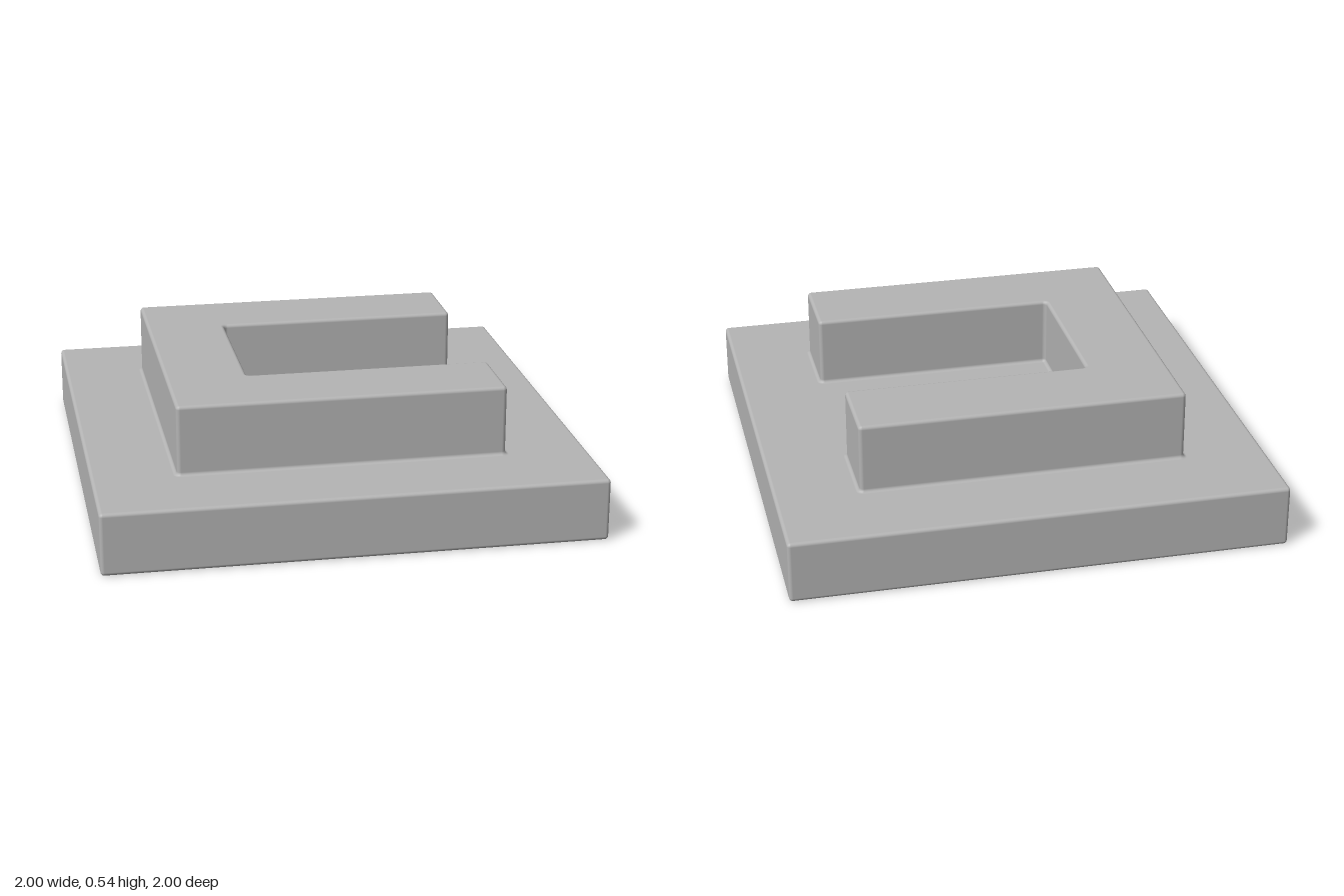
import * as THREE from 'three';
import { RoundedBoxGeometry } from 'three/addons/geometries/RoundedBoxGeometry.js';

const BASE_TOP = 0.255, WALL_TOP = 0.543, OUTER = 0.663, INNER = 0.335;
const ROUND = 0.015, STEPS = 4;

// Rounds every corner of an outline in (x, z); returns points with outward normals.
function roundOutline(corners, r) {
  const dir = (a, b) => b.clone().sub(a).normalize();
  const out = [];
  corners.forEach((p, i) => {
    const count = corners.length;
    const d0 = dir(corners[(i + count - 1) % count], p);
    const d1 = dir(p, corners[(i + 1) % count]);
    const n0 = new THREE.Vector2(d0.y, -d0.x), n1 = new THREE.Vector2(d1.y, -d1.x);
    const side = Math.sign(d0.cross(d1)); // +1 convex, -1 concave
    const centre = p.clone().addScaledVector(n0.clone().add(n1), -side * r);
    for (let k = 0; k <= STEPS; k++) {
      const a = (k / STEPS) * Math.PI / 2;
      const n = n0.clone().multiplyScalar(Math.cos(a)).addScaledVector(n1, Math.sin(a));
      out.push({ p: centre.clone().addScaledVector(n, side * r), n });
    }
  });
  return out;
}

// Walls with a fillet at the foot, a rounded top edge and a flat cap.
function raisedGeometry(outline, bottom, top, r) {
  const profile = []; // offset, height, upward slope of the normal
  for (let k = 0; k <= STEPS; k++) {
    const a = (k / STEPS) * Math.PI / 2;
    profile.push([r * (1 - Math.sin(a)), bottom + r * (1 - Math.cos(a)), Math.PI / 2 - a]);
  }
  for (let k = 0; k <= STEPS; k++) {
    const a = (k / STEPS) * Math.PI / 2;
    profile.push([-r * (1 - Math.cos(a)), top - r * (1 - Math.sin(a)), a]);
  }
  const pos = [], nor = [], index = [], count = outline.length;
  profile.forEach(([d, y, a], row) => {
    outline.forEach(({ p, n }, i) => {
      pos.push(p.x + n.x * d, y, p.y + n.y * d);
      nor.push(n.x * Math.cos(a), Math.sin(a), n.y * Math.cos(a));
      if (row === profile.length - 1) return;
      const v = row * count + i, next = row * count + (i + 1) % count;
      index.push(v, v + count, next, next, v + count, next + count);
    });
  });
  const last = (profile.length - 1) * count;
  const rim = outline.map(({ p, n }) => p.clone().addScaledVector(n, -r * 0.99));
  THREE.ShapeUtils.triangulateShape(rim, []).forEach(([a, b, c]) => {
    index.push(last + a, last + c, last + b);
  });
  const geometry = new THREE.BufferGeometry();
  geometry.setAttribute('position', new THREE.Float32BufferAttribute(pos, 3));
  geometry.setAttribute('normal', new THREE.Float32BufferAttribute(nor, 3));
  geometry.setIndex(index);
  return geometry;
}

export function createModel() {
  const grey = new THREE.MeshStandardMaterial({ color: 0xb4b4b4 });
  grey.name = 'grey';
  const group = new THREE.Group();
  group.name = 'plinthWithRaisedWall';

  // Square slab
  const base = new THREE.Mesh(new RoundedBoxGeometry(2, BASE_TOP, 2, 4, ROUND), grey);
  base.name = 'base';
  base.position.y = BASE_TOP / 2;
  group.add(base);

  // Three-sided wall, open towards +x
  const corners = [
    [-OUTER, -OUTER], [OUTER, -OUTER], [OUTER, -INNER], [-INNER, -INNER],
    [-INNER, INNER], [OUTER, INNER], [OUTER, OUTER], [-OUTER, OUTER],
  ].map(([x, z]) => new THREE.Vector2(x, z));
  const wall = new THREE.Mesh(
    raisedGeometry(roundOutline(corners, ROUND * 1.1), BASE_TOP, WALL_TOP, ROUND), grey);
  wall.name = 'raisedWall';
  group.add(wall);

  return group;
}
